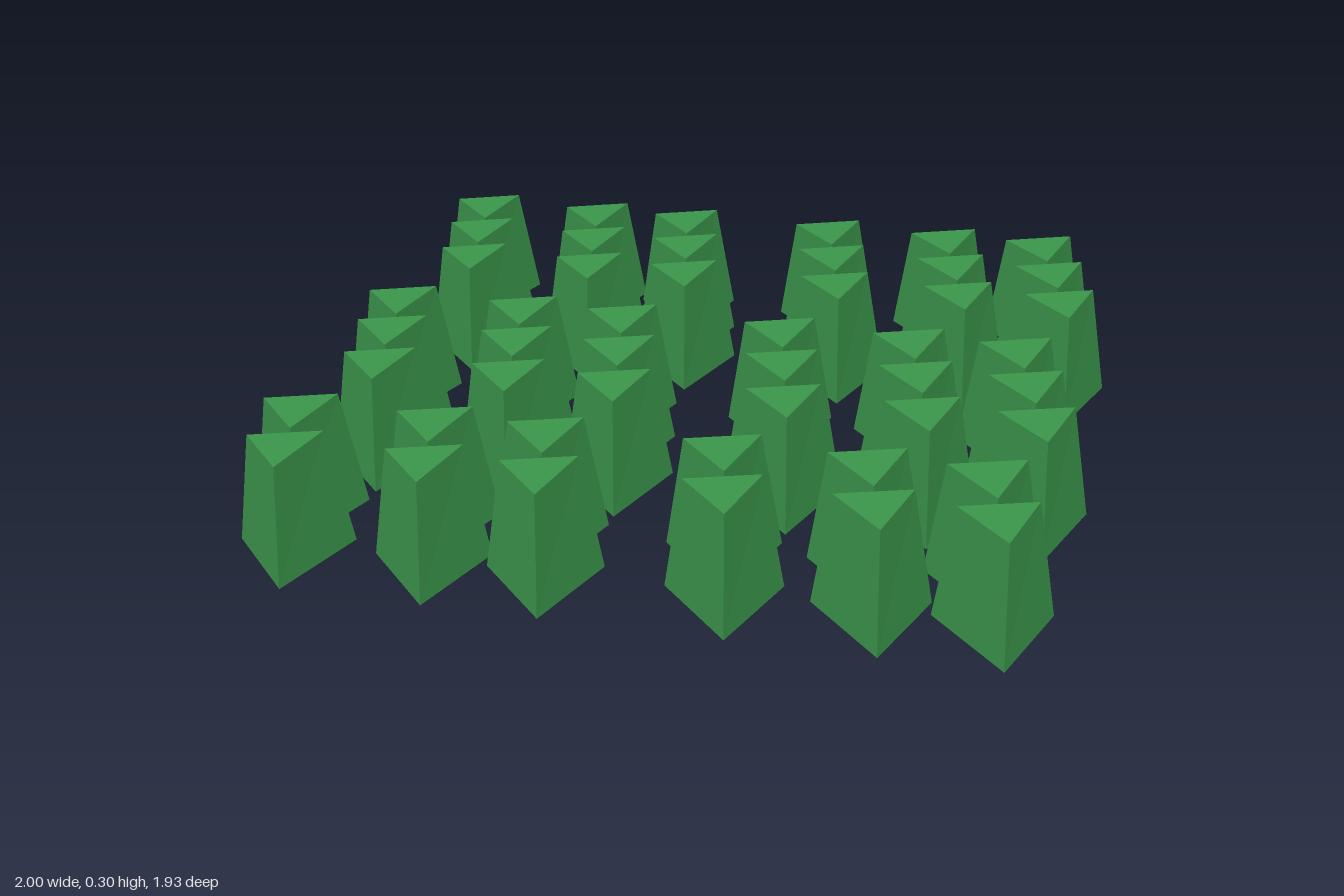
import * as THREE from 'three';

// Base corners around the block centre (x, z), counter-clockwise from above,
// with the taper and height of the matching top corner
const CORNERS = [
  { x: -0.15, z: -0.05, taper: 0.7, top: 0.285 },
  { x: 0.032, z: 0.157, taper: 0.7, top: 0.285 },
  { x: 0.118, z: -0.105, taper: 0.62, top: 0.3 },
];

// Tapered three-sided block with a slightly slanted top
function blockGeometry() {
  const low = CORNERS.map(c => [c.x, 0, c.z]);
  const high = CORNERS.map(c => [c.x * c.taper, c.top, c.z * c.taper]);
  const points = [...high, low[0], low[2], low[1]];
  for (let i = 0; i < 3; i++) {
    const j = (i + 1) % 3;
    points.push(low[i], low[j], high[j], low[i], high[j], high[i]);
  }
  const geometry = new THREE.BufferGeometry();
  geometry.setAttribute('position', new THREE.Float32BufferAttribute(points.flat(), 3));
  geometry.computeVertexNormals();
  return geometry;
}

export function createModel() {
  const group = new THREE.Group();
  group.name = 'blockField';
  const geometry = blockGeometry();
  const material = new THREE.MeshStandardMaterial({ color: 0x3a944a, flatShading: true });

  // Columns in two sets of three; rows in sets of three, each stepping sideways
  const columns = [-0.845, -0.508, -0.236, 0.187, 0.524, 0.796];
  const rows = [-0.867, -0.667, -0.462, -0.109, 0.092, 0.3, 0.605, 0.805];
  rows.forEach((z, r) => {
    const row = new THREE.Group();
    row.name = `blockRow${r + 1}`;
    row.position.set((r % 3) * 0.043, 0, z);
    columns.forEach((x, c) => {
      const block = new THREE.Mesh(geometry, material);
      block.name = `block${c + 1}`;
      block.position.x = x;
      row.add(block);
    });
    group.add(row);
  });
  return group;
}
